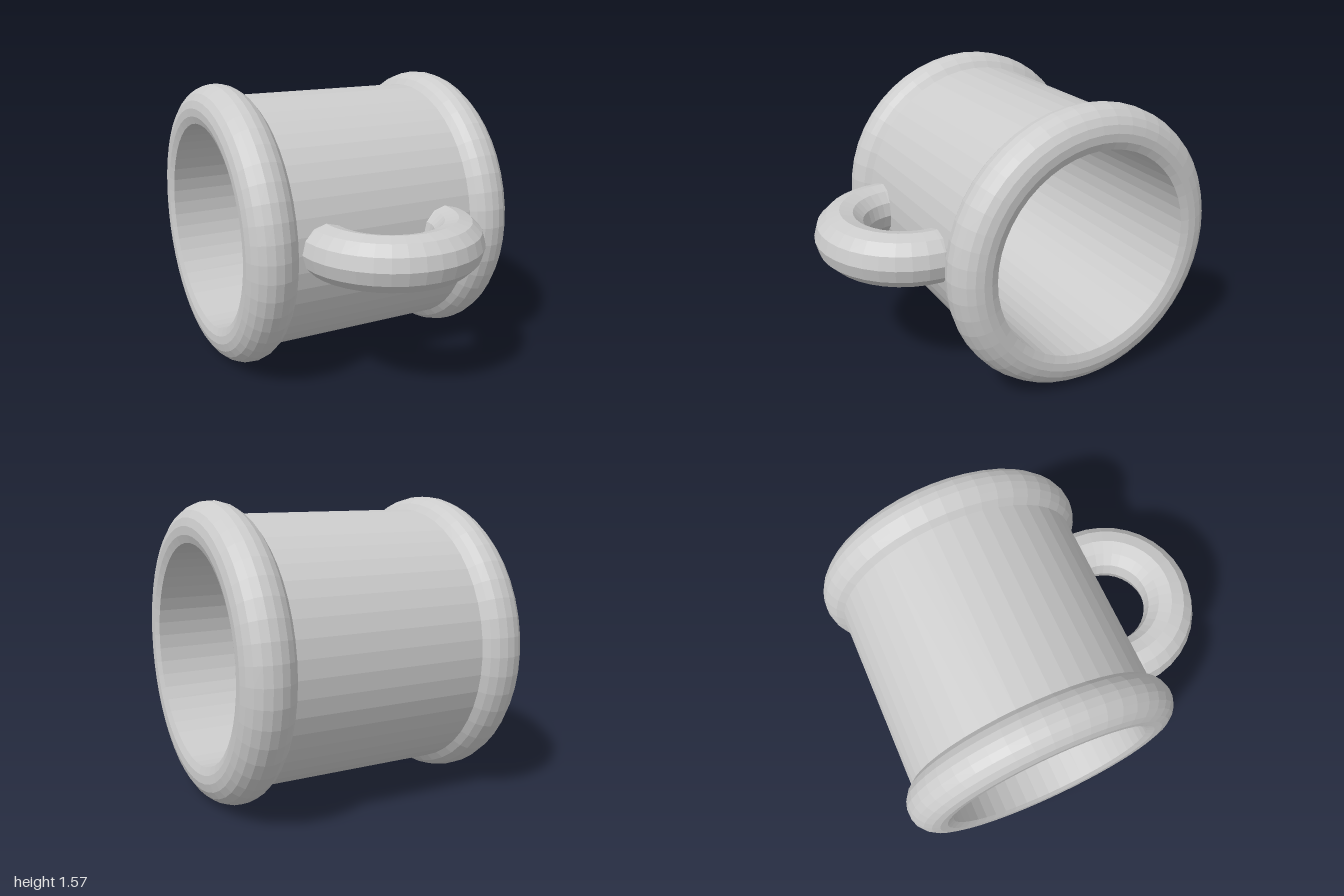
import * as THREE from 'three';

const BORE = 0.575, OUTER = 0.715;      // barrel radii
const RIM_R = 0.645, RIM_TUBE = 0.14;   // rim ring radius, tube radius, also its x offset
const SEGMENTS = 48;
const AXIS_Y = 0.785, AXIS_Z = -0.215;

export function createModel() {
  const model = new THREE.Group();
  const material = new THREE.MeshStandardMaterial({ color: 0xcccccc, flatShading: true });

  function add(name, geometry, y, z, parent = model) {
    const mesh = new THREE.Mesh(geometry, material);
    mesh.name = name;
    mesh.position.set(0, y, z);
    parent.add(mesh);
    return mesh;
  }

  // Half ring profile: from the barrel's outer wall, around the bead, to the bore edge
  const bead = [];
  for (let i = 0; i <= 10; i++) {
    const a = -Math.PI / 3 + (i / 10) * Math.PI;
    bead.push(new THREE.Vector2(RIM_R + RIM_TUBE * Math.cos(a), RIM_R + RIM_TUBE * Math.sin(a)));
  }
  const boreEnd = bead[10].y, wallEnd = bead[0].y;

  // Open barrel: outer wall and through bore
  const barrel = new THREE.Group();
  barrel.name = 'barrel';
  barrel.position.set(0, AXIS_Y, AXIS_Z);
  barrel.rotation.z = -Math.PI / 2;
  model.add(barrel);
  const wall = (r, from, to) => new THREE.LatheGeometry(
    [new THREE.Vector2(r, from), new THREE.Vector2(r, to)], SEGMENTS);
  add('outerWall', wall(OUTER, -wallEnd, wallEnd), 0, 0, barrel);
  add('boreWall', wall(BORE, boreEnd, -boreEnd), 0, 0, barrel);

  // Rounded rims at both ends
  for (const side of [1, -1]) {
    const rim = add(side > 0 ? 'leftRim' : 'rightRim',
      new THREE.LatheGeometry(bead, SEGMENTS), AXIS_Y, AXIS_Z);
    rim.rotation.z = -side * Math.PI / 2;
  }

  // Half ring handle, its ends sunk into the wall
  const sink = 0.15;
  const handle = new THREE.TorusGeometry(0.362, 0.143, 12, 20, Math.PI + 2 * sink);
  handle.rotateZ(-sink).rotateX(Math.PI / 2);
  add('handle', handle, 0.79, 0.495);

  return model;
}
